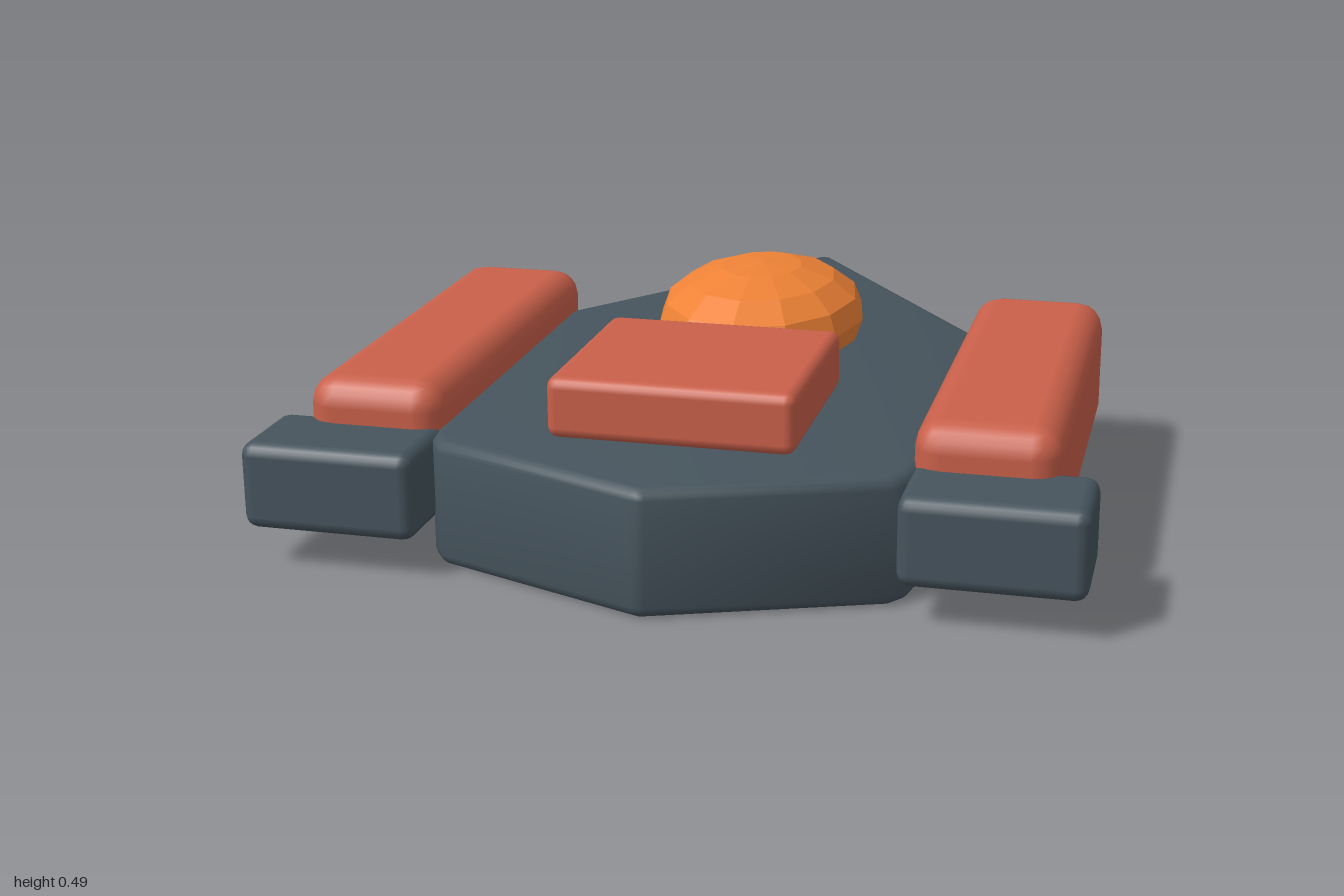
import * as THREE from 'three';
import { RoundedBoxGeometry } from 'three/addons/geometries/RoundedBoxGeometry.js';
import { toCreasedNormals } from 'three/addons/utils/BufferGeometryUtils.js';

const material = (color, flatShading = false) => new THREE.MeshStandardMaterial({ color, flatShading });

export function createModel() {
  const model = new THREE.Group();
  const slate = material(0x46545d);
  const red = material(0xc9604a);
  const orange = material(0xee8236, true);

  function add(name, geometry, mat, x, y, z) {
    const mesh = new THREE.Mesh(geometry, mat);
    mesh.name = name;
    mesh.position.set(x, y, z);
    model.add(mesh);
    return mesh;
  }

  // Hull: six-sided plan (x, z), pointed at the back, with rounded edges
  const half = [[0.016, -1], [0.68, -0.1], [0.537, 0.765], [0.505, 0.81], [0.016, 0.995]];
  const mirrored = half.map(([x, z]) => [-x, z]).reverse();
  const outline = [...half, [0, 1], ...mirrored].map(([x, z]) => new THREE.Vector2(x, z));
  const bevel = 0.025;
  const height = 0.29;
  const hull = new THREE.ExtrudeGeometry(new THREE.Shape(outline), {
    depth: height - 2 * bevel,
    bevelSize: bevel,
    bevelThickness: bevel,
    bevelOffset: -bevel,
    bevelSegments: 3,
  });
  hull.rotateX(Math.PI / 2);
  add('hull', toCreasedNormals(hull, 0.8), slate, 0, height - bevel, 0);

  // Raised deck block
  add('deckBlock', new RoundedBoxGeometry(0.56, 0.14, 0.52, 2, 0.025), red, 0, 0.363, 0.48);

  // Faceted canopy, sunk a little into the deck
  const canopy = add('canopy', new THREE.SphereGeometry(1, 12, 8), orange, 0, 0.345, -0.17);
  canopy.scale.set(0.26, 0.14, 0.345);

  // Side pods and the blocks at their front ends
  for (const [side, s] of [['left', 1], ['right', -1]]) {
    add(side + 'Pod', new RoundedBoxGeometry(0.32, 0.325, 1.09, 2, 0.065), red, s * 0.69, 0.2275, 0.195);
    add(side + 'PodBlock', new RoundedBoxGeometry(0.4, 0.2, 0.24, 2, 0.03), slate, s * 0.73, 0.19, 0.8);
  }
  return model;
}
